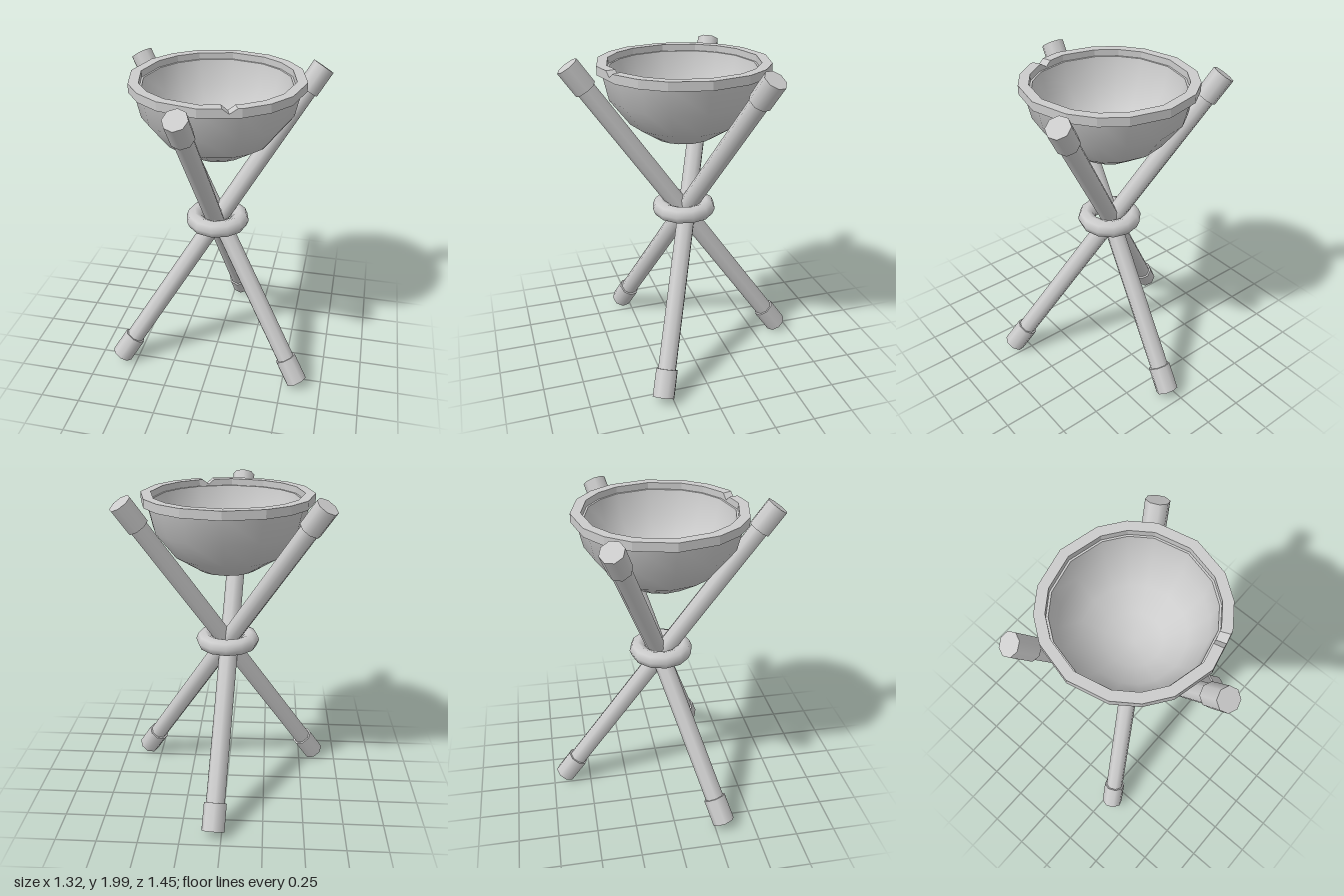
import * as THREE from 'three';
import { toCreasedNormals } from 'three/addons/utils/BufferGeometryUtils.js';

const material = new THREE.MeshStandardMaterial({ color: 0xcccccc, side: THREE.DoubleSide });
const Y_AXIS = new THREE.Vector3(0, 1, 0);

function addMesh(parent, geometry, name) {
  const mesh = new THREE.Mesh(geometry, material);
  mesh.name = name;
  parent.add(mesh);
  return mesh;
}

// Corner angles of the sixteen-sided bowl, slightly uneven in each quarter
const corners = [];
for (let quarter = 0; quarter < 4; quarter++) {
  for (const a of [0, 26.57, 45, 63.43]) corners.push(quarter * 90 + a);
}
corners.push(360);

// Lathe whose columns sit at the given angles (degrees from +z), kept on the polygon's sides
function unevenLathe(profile, angles) {
  const geometry = new THREE.LatheGeometry(profile.map(([r, y]) => new THREE.Vector2(r, y)), angles.length - 1);
  const pos = geometry.attributes.position;
  angles.forEach((deg, i) => {
    const k = Math.max(1, corners.findIndex((c) => c >= deg));
    const mid = (corners[k - 1] + corners[k]) / 2;
    const rad = THREE.MathUtils.degToRad;
    const chord = Math.cos(rad(corners[k] - mid)) / Math.cos(rad(deg - mid));
    profile.forEach(([r, y], j) => {
      pos.setXYZ(i * profile.length + j, r * chord * Math.sin(rad(deg)), y, r * chord * Math.cos(rad(deg)));
    });
  });
  return geometry;
}

// Straight round bar between two points
function bar(parent, from, to, radius, sides, name) {
  const dir = to.clone().sub(from);
  const geometry = new THREE.CylinderGeometry(radius, radius, dir.length(), sides);
  const mesh = addMesh(parent, geometry, name);
  mesh.position.copy(from).add(to).multiplyScalar(0.5);
  mesh.quaternion.setFromUnitVectors(Y_AXIS, dir.normalize());
}

export function createModel() {
  const model = new THREE.Group();
  model.name = 'tripodBowl';

  // Three crossed poles with a thicker sleeve at each end
  const poles = [
    [[-0.07, 1.955, 0.67], [0.05, 0.045, -0.67]],
    [[0.575, 1.955, -0.325], [-0.6, 0.045, 0.305]],
    [[-0.56, 1.955, -0.345], [0.595, 0.045, 0.315]],
  ];
  poles.forEach(([t, b], i) => {
    const pole = new THREE.Group();
    pole.name = `pole${i + 1}`;
    const top = new THREE.Vector3(...t);
    const bottom = new THREE.Vector3(...b);
    const step = top.clone().sub(bottom).setLength(0.17);
    const topInner = top.clone().sub(step);
    const bottomInner = bottom.clone().add(step);
    bar(pole, bottomInner.clone().addScaledVector(step, -0.2), topInner.clone().addScaledVector(step, 0.2), 0.058, 8, 'shaft');
    bar(pole, topInner, top, 0.07, 8, 'topSleeve');
    bar(pole, bottom, bottomInner, 0.07, 8, 'footSleeve');
    model.add(pole);
  });

  // Ring binding the poles at the crossing
  const ring = addMesh(model, new THREE.TorusGeometry(0.147, 0.054, 8, 12), 'bindingRing');
  ring.rotation.x = Math.PI / 2;
  ring.position.y = 1.03;

  // Hollow bowl: outside from the bottom up, then down the inside
  const bowlProfile = [
    [0, 1.457], [0.18, 1.505], [0.33, 1.6], [0.45, 1.755], [0.488, 1.92],
    [0.443, 1.92], [0.41, 1.77], [0.3, 1.63], [0.165, 1.545], [0, 1.505],
  ];
  addMesh(model, toCreasedNormals(unevenLathe(bowlProfile, corners), 1.0), 'bowl');

  // Flat rim band with a small V-shaped nick at the front
  const rimAngles = [0, 14.5, 19, 24, ...corners.slice(1)];
  const rimProfile = [[0.455, 1.908], [0.515, 1.908], [0.515, 1.96], [0.455, 1.96], [0.455, 1.908]];
  const rim = unevenLathe(rimProfile, rimAngles);
  const nick = 2 * rimProfile.length;
  for (const j of [2, 3]) rim.attributes.position.setY(nick + j, 1.93);
  addMesh(model, toCreasedNormals(rim, 0.3), 'rim');

  return model;
}
